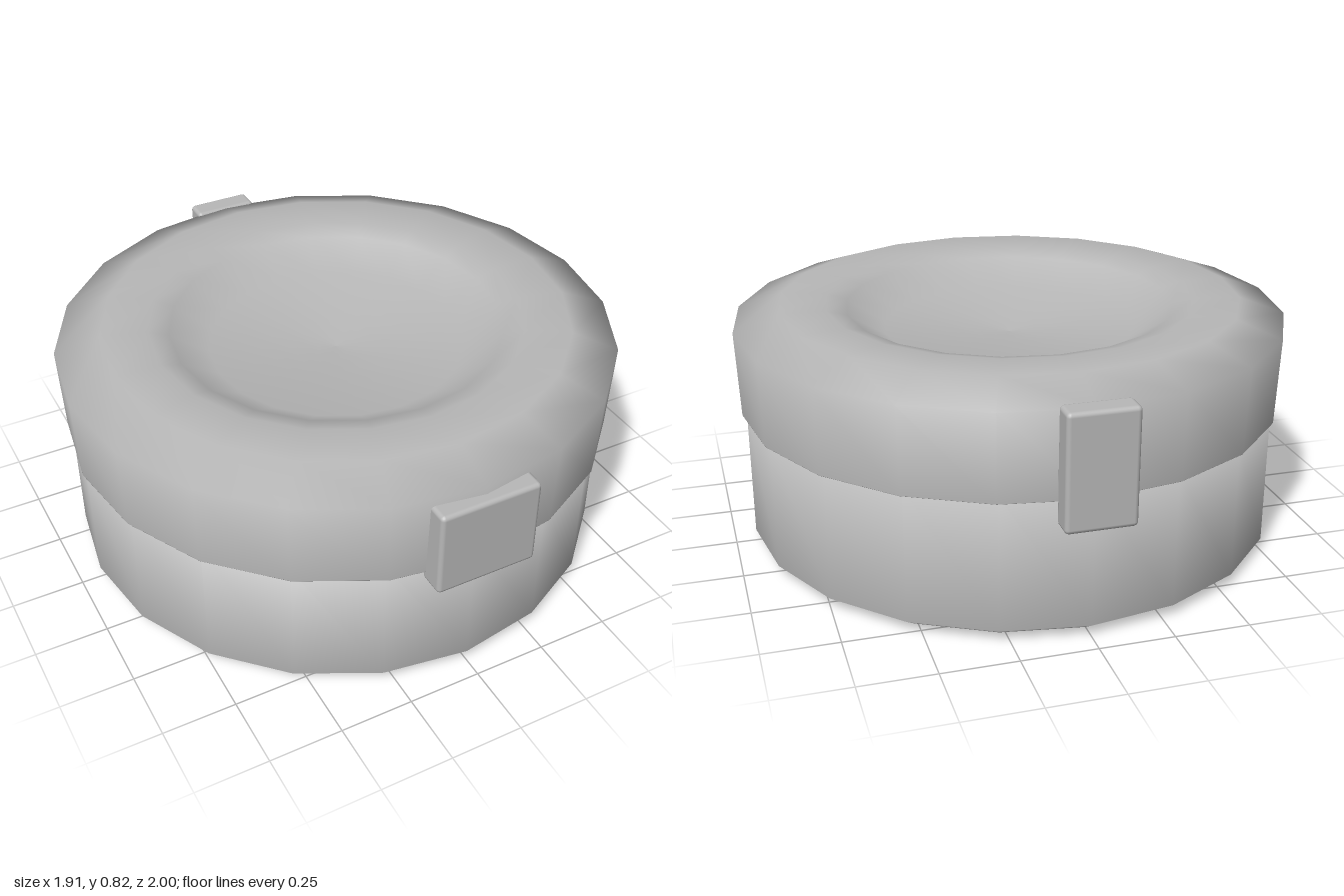
import * as THREE from 'three';
import { RoundedBoxGeometry } from 'three/addons/geometries/RoundedBoxGeometry.js';

const SIDES = 20;

export function createModel() {
  const group = new THREE.Group();
  const grey = new THREE.MeshStandardMaterial({ color: 0xb8b8b8 });
  grey.name = 'plain grey';

  const add = (name, geometry, x, y, z) => {
    const mesh = new THREE.Mesh(geometry, grey);
    mesh.name = name;
    mesh.position.set(x, y, z);
    group.add(mesh);
  };
  // Closed turned solid; profile runs from bottom centre to top centre
  const turned = (profile) =>
    new THREE.LatheGeometry(profile.map(([r, y]) => new THREE.Vector2(r, y)), SIDES);

  // Tub with a bevelled foot and a recess underneath
  add('body', turned([
    [0, 0.1], [0.32, 0.09], [0.4, 0.04], [0.46, 0.005], [0.52, 0], [0.87, 0],
    [0.93, 0.04], [0.93, 0.5], [0, 0.5],
  ]), 0, 0, 0);

  // Overhanging lid with a shallow dish in the top
  add('lid', turned([
    [0, 0.475], [0.945, 0.475], [0.945, 0.476], [0.956, 0.77], [0.8, 0.825],
    [0.64, 0.82], [0.57, 0.8], [0.44, 0.72], [0, 0.69],
  ]), 0, 0, 0.008);

  // Front clasp and back hinge
  add('clasp', new RoundedBoxGeometry(0.35, 0.305, 0.095, 2, 0.015), 0, 0.592, 0.9525);
  add('hinge', new RoundedBoxGeometry(0.23, 0.385, 0.085, 2, 0.015), 0, 0.592, -0.9575);

  return group;
}
